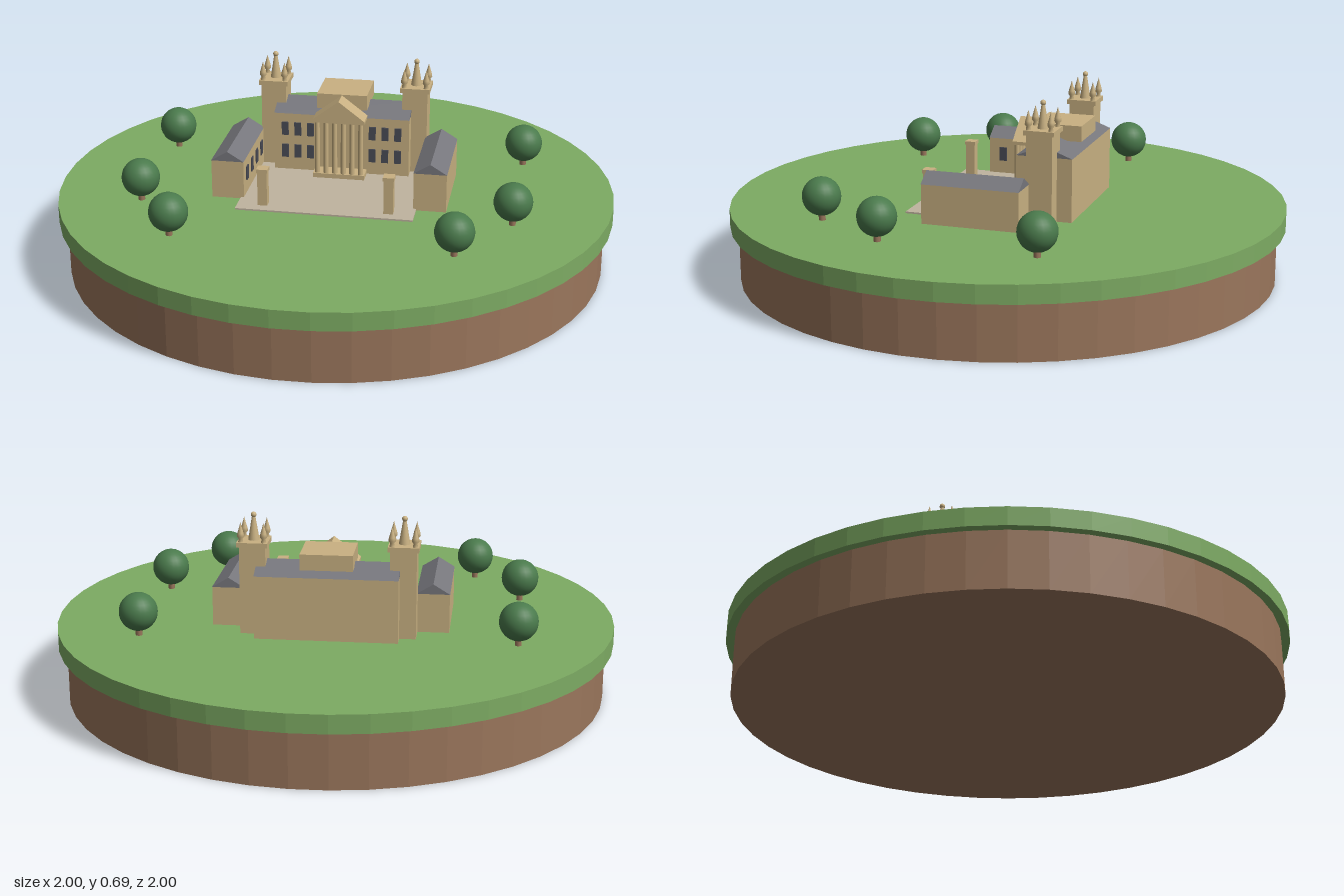
import * as THREE from 'three';

const paint = (name, color) => {
  const m = new THREE.MeshStandardMaterial({ color });
  m.name = name;
  return m;
};

export function createModel() {
  const grass = paint('grass', 0x7dab63);
  const soil = paint('soil', 0x9a765c);
  const stone = paint('stone', 0xc9b182);
  const slate = paint('slate', 0x77777d);
  const glass = paint('glass', 0x4a4c56);
  const gravel = paint('gravel', 0xc0b49f);
  const leaf = paint('leaf', 0x4a7a4c);

  const GROUND = 0.265;
  const model = new THREE.Group();
  model.name = 'estateOnDisc';

  const add = (parent, name, geometry, material, x = 0, y = 0, z = 0) => {
    const mesh = new THREE.Mesh(geometry, material);
    mesh.name = name;
    mesh.position.set(x, y, z);
    parent.add(mesh);
    return mesh;
  };
  // Box given by its bottom and top heights
  const block = (parent, name, material, w, d, y0, y1, x = 0, z = 0) =>
    add(parent, name, new THREE.BoxGeometry(w, y1 - y0, d), material, x, (y0 + y1) / 2, z);
  // Triangular prism with its ridge along z
  const prism = (parent, name, material, w, h, length, x, y, z) => {
    const s = new THREE.Shape([
      new THREE.Vector2(-w / 2, 0), new THREE.Vector2(w / 2, 0), new THREE.Vector2(0, h)]);
    const g = new THREE.ExtrudeGeometry(s, { depth: length, bevelEnabled: false });
    g.translate(0, 0, -length / 2);
    return add(parent, name, g, material, x, y, z);
  };
  const faceted = (geometry) => {
    const g = geometry.toNonIndexed();
    g.computeVertexNormals();
    return g;
  };

  // Round base
  add(model, 'soilBase', faceted(new THREE.CylinderGeometry(0.97, 0.97, 0.2, 48)), soil, 0, 0.1, 0);
  add(model, 'lawn', faceted(new THREE.CylinderGeometry(1, 1, 0.065, 48)), grass, 0, 0.2325, 0);

  // Trees
  const treeSpots = [[-0.525, -0.49], [-0.705, 0], [-0.636, 0.32], [0.535, 0.45], [0.277, 0.652], [0.725, -0.072]];
  for (const [x, z] of treeSpots) {
    const tree = new THREE.Group();
    tree.name = 'tree';
    tree.position.set(x, 0, z);
    add(tree, 'trunk', new THREE.CylinderGeometry(0.012, 0.012, 0.06, 8), soil, 0, GROUND + 0.03, 0);
    add(tree, 'crown', new THREE.SphereGeometry(0.068, 24, 16), leaf, 0, 0.351, 0);
    model.add(tree);
  }

  // Everything built stands on axes turned by twenty degrees
  const house = new THREE.Group();
  house.name = 'house';
  house.rotation.y = -0.35;
  model.add(house);

  block(house, 'courtyard', gravel, 0.63, 0.435, GROUND, GROUND + 0.006, 0, 0.0575);

  // Main block with its roof and attic
  const MAIN_Z = -0.212;
  block(house, 'mainBlock', stone, 0.5, 0.2, GROUND, 0.49, 0, MAIN_Z);
  prism(house, 'mainRoof', slate, 0.202, 0.038, 0.5, 0, 0.49, MAIN_Z).rotation.y = Math.PI / 2;
  block(house, 'attic', stone, 0.184, 0.174, 0.514, 0.57, 0, MAIN_Z);

  for (const side of [-1, 1]) {
    for (const x of [0.115, 0.162, 0.209]) {
      for (const y of [0.345, 0.432]) {
        add(house, 'mainWindow', new THREE.BoxGeometry(0.025, 0.05, 0.008), glass, side * x, y, -0.11);
      }
    }
  }

  // Portico
  block(house, 'porticoStep', stone, 0.19, 0.07, GROUND, 0.288, 0, -0.082);
  for (let i = 0; i < 6; i++) {
    add(house, 'column', new THREE.CylinderGeometry(0.009, 0.01, 0.2, 12), stone, -0.08 + i * 0.032, 0.388, -0.06);
  }
  block(house, 'entablature', stone, 0.19, 0.073, 0.486, 0.498, 0, -0.0835);
  prism(house, 'pediment', stone, 0.19, 0.072, 0.073, 0, 0.498, -0.0835);

  // Corner finial: stem and flame, drawn as one turned profile
  const finial = new THREE.LatheGeometry([
    [0.009, 0], [0.007, 0.012], [0.013, 0.02], [0.011, 0.032], [0.005, 0.052], [0, 0.07],
  ].map(([r, y]) => new THREE.Vector2(r, y)), 12);

  for (const side of [-1, 1]) {
    // Tower
    const tower = new THREE.Group();
    tower.name = side < 0 ? 'rightTower' : 'leftTower';
    tower.position.set(side * 0.262, 0, MAIN_Z);
    house.add(tower);
    block(tower, 'towerShaft', stone, 0.092, 0.092, GROUND, 0.578);
    block(tower, 'towerCornice', stone, 0.108, 0.108, 0.578, 0.595);
    for (const x of [-0.04, 0.04]) {
      for (const z of [-0.04, 0.04]) add(tower, 'finial', finial, stone, x, 0.595, z);
    }
    add(tower, 'centralSpire', new THREE.CylinderGeometry(0.005, 0.02, 0.09, 12), stone, 0, 0.64, 0);
    add(tower, 'spireBall', new THREE.SphereGeometry(0.01, 12, 8), stone, 0, 0.684, 0);

    // Side wing with windows towards the courtyard
    const wing = new THREE.Group();
    wing.name = side < 0 ? 'rightWing' : 'leftWing';
    wing.position.x = side * 0.362;
    house.add(wing);
    block(wing, 'wingWalls', stone, 0.116, 0.35, GROUND, 0.405);
    prism(wing, 'wingRoof', slate, 0.118, 0.036, 0.352, 0, 0.405, 0);
    for (let i = 0; i < 4; i++) {
      add(wing, 'wingWindow', new THREE.BoxGeometry(0.008, 0.052, 0.028), glass,
        -side * 0.058, 0.345, -0.12 + i * 0.08);
    }

    // Gate pier
    block(house, 'gatePier', stone, 0.034, 0.034, GROUND, 0.395, side * 0.224, 0.22);
    block(house, 'pierCap', stone, 0.04, 0.04, 0.395, 0.408, side * 0.224, 0.22);
  }

  return model;
}
